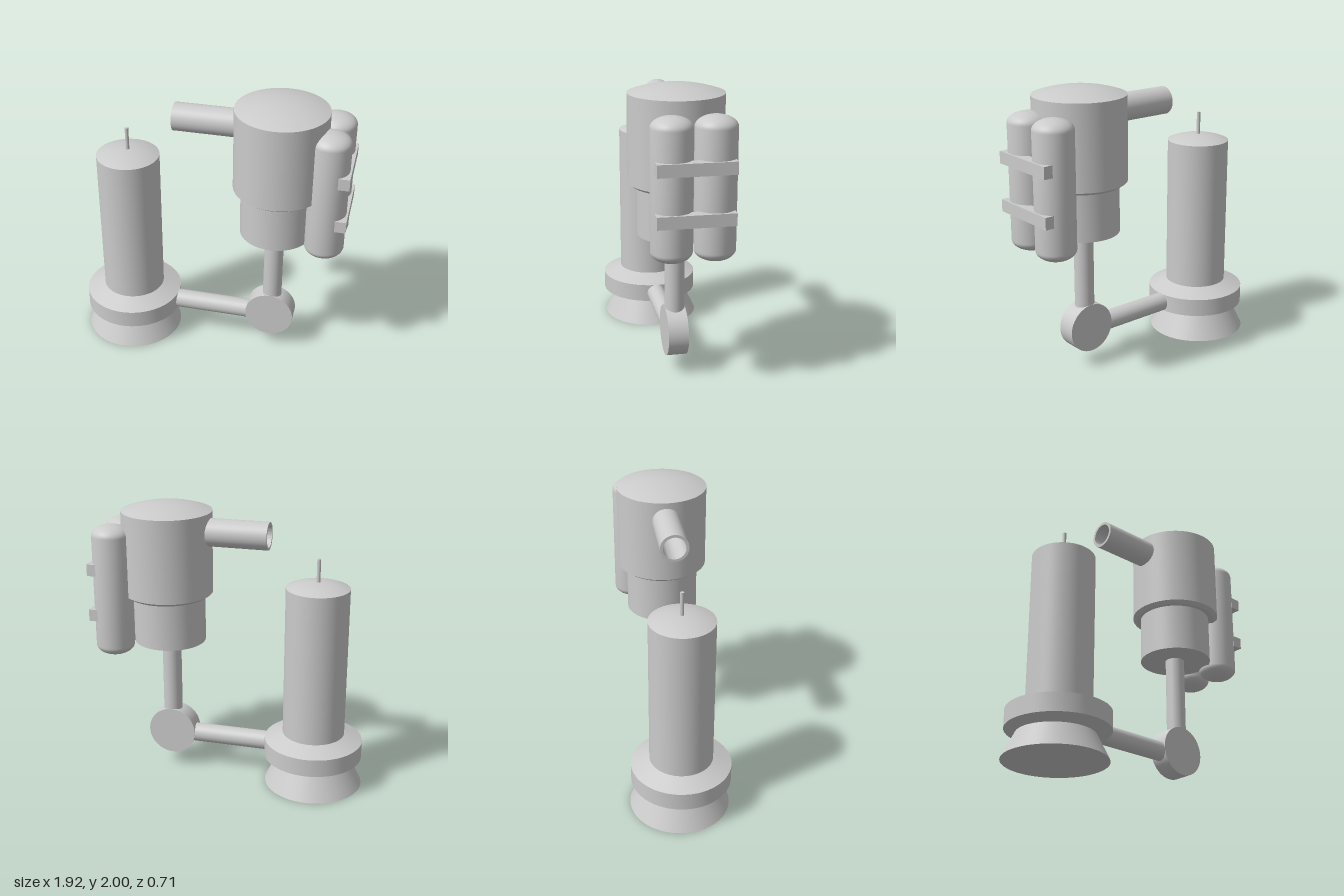
import * as THREE from 'three';
import { toCreasedNormals } from 'three/addons/utils/BufferGeometryUtils.js';

const material = new THREE.MeshStandardMaterial({ color: 0xcccccc });
const Z = 0.006;

// Turned solid from [radius, height] pairs, listed bottom to top
function turned(profile, segments = 64) {
  const points = profile.map(([r, y]) => new THREE.Vector2(r, y));
  return toCreasedNormals(new THREE.LatheGeometry(points, segments), 0.3);
}

// Points of a shallow spherical cap, from rim to crown
function cap(radius, base, height, steps = 8) {
  const R = (radius * radius + height * height) / (2 * height);
  const points = [];
  for (let i = 0; i <= steps; i++) {
    const r = radius * (1 - i / steps);
    points.push([r, base + height - R + Math.sqrt(R * R - r * r)]);
  }
  return points;
}

// Tank with flattened elliptical ends
function tankProfile(radius, bottom, top, domeHeight, steps = 12) {
  const points = [];
  for (const end of [-1, 1]) {
    for (let i = 0; i <= steps; i++) {
      const a = (end < 0 ? i - steps : i) / steps * Math.PI / 2;
      points.push([Math.max(0, radius * Math.cos(a)), (end < 0 ? bottom : top) + domeHeight * Math.sin(a)]);
    }
  }
  return points;
}

export function createModel() {
  const group = new THREE.Group();
  const add = (name, geometry, x, y, z = Z) => {
    const mesh = new THREE.Mesh(geometry, material);
    mesh.name = name;
    mesh.position.set(x, y, z);
    group.add(mesh);
    return mesh;
  };
  const rod = (radius, length) => new THREE.CylinderGeometry(radius, radius, length, 40);

  // Column on a flared foot
  add('foot', turned([[0, 0], [0.35, 0], [0.262, 0.18], [0, 0.18]]), -0.615, 0, -0.005);
  add('collar', turned([[0, 0.17], [0.265, 0.17], [0.35, 0.205], [0.35, 0.333], [0.22, 0.385], [0, 0.385]]), -0.607, 0);
  add('column', turned([[0, 0.3], [0.221, 0.3], [0.221, 1.47], ...cap(0.221, 1.47, 0.043)]), -0.607, 0);
  add('antenna', rod(0.013, 0.2), -0.607, 1.575, 0.004);

  // Linkage: arm, round joint and post
  add('arm', rod(0.068, 0.7).rotateZ(Math.PI / 2), 0, 0.267, 0.008);
  add('joint', new THREE.CylinderGeometry(0.175, 0.175, 0.138, 64).rotateX(Math.PI / 2), 0.443, 0.286, 0.008);
  add('post', rod(0.068, 0.72), 0.452, 0.68, 0.008);

  // Stepped head with a domed lid
  add('headLower', turned([[0, 1], [0.255, 1], [0.255, 1.4], [0, 1.4]]), 0.46, 0);
  add('headUpper', turned([[0, 1.34], [0.29, 1.34], [0.317, 1.36], [0.317, 1.945], ...cap(0.317, 1.945, 0.055)]), 0.468, 0);

  // Hollow barrel pointing to -x
  const barrel = turned([[0, 0], [0.097, 0], [0.097, 0.52], [0.078, 0.52], [0.078, 0.1], [0, 0.1]], 48);
  add('barrel', barrel.rotateZ(Math.PI / 2), 0.257, 1.808, 0.003);

  // Twin tanks and the straps across them
  for (const z of [0.1, -0.18]) add('tank', turned(tankProfile(0.136, 1, 1.79, 0.075), 48), 0.81, 0, z);
  for (const y of [1.23, 1.558]) add('strap', new THREE.BoxGeometry(0.077, 0.083, 0.505), 0.92, y, -0.034);

  return group;
}
